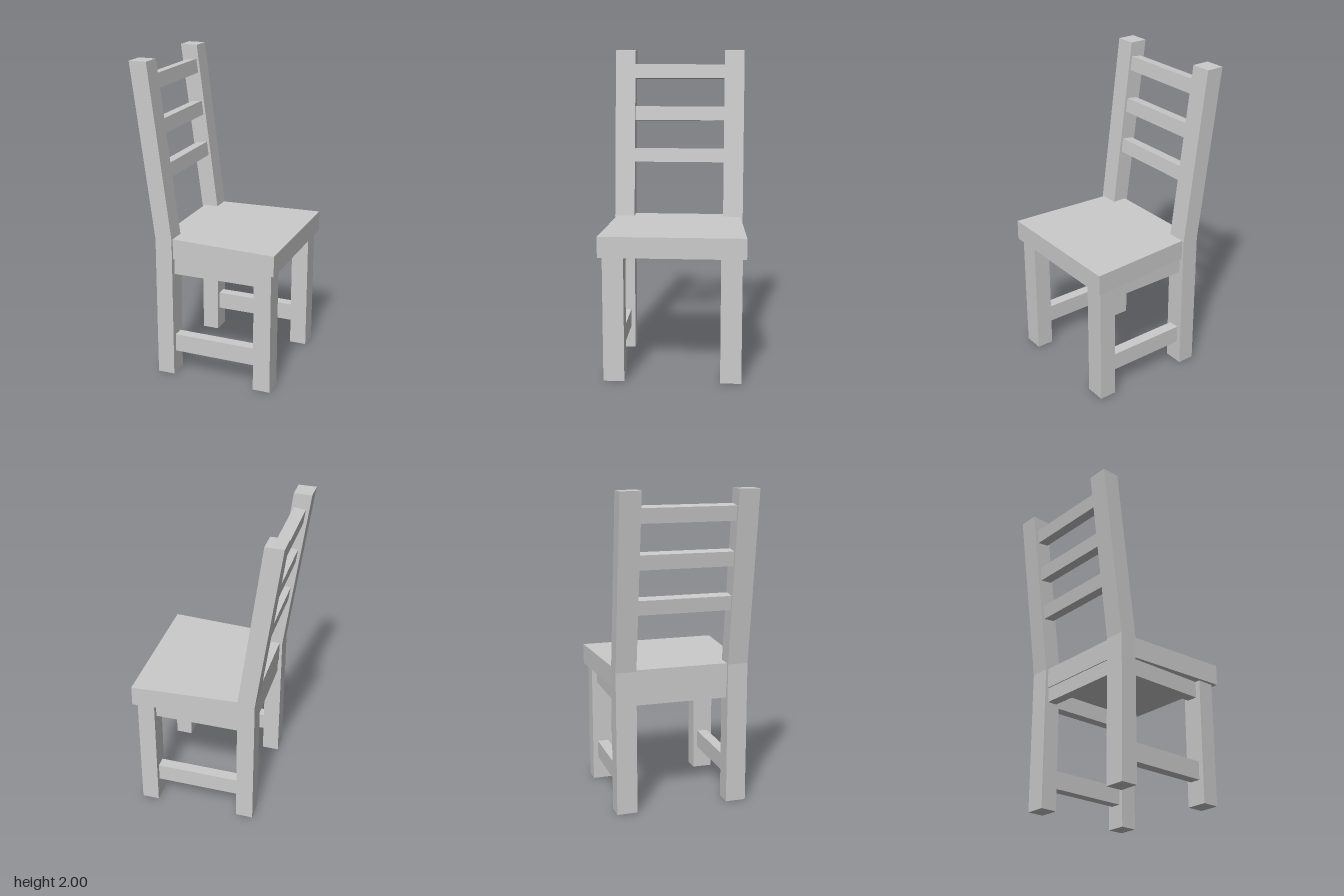
import * as THREE from 'three';

const material = new THREE.MeshStandardMaterial({ color: 0xcccccc, flatShading: true });

export function createModel() {
  const chair = new THREE.Group();
  chair.name = 'chair';

  const add = (name, geometry) => {
    const mesh = new THREE.Mesh(geometry, material);
    mesh.name = name;
    chair.add(mesh);
    return mesh;
  };

  // Box given by its limits on each axis
  const addBox = (name, [x0, x1], [y0, y1], [z0, z1]) =>
    add(name, new THREE.BoxGeometry(x1 - x0, y1 - y0, z1 - z0))
      .position.set((x0 + x1) / 2, (y0 + y1) / 2, (z0 + z1) / 2);

  const extrude = (points, depth) => new THREE.ExtrudeGeometry(
    new THREE.Shape(points.map(([x, y]) => new THREE.Vector2(x, y))),
    { depth, bevelEnabled: false });

  const inner = 0.295, outer = 0.425; // legs, distance from the middle
  const postProfile = [[-0.32, 0], [-0.21, 0], [-0.21, 0.91], [-0.352, 2], [-0.465, 2], [-0.32, 0.91]];

  for (const side of [-1, 1]) {
    const label = side > 0 ? 'Left' : 'Right';
    const span = (a, b) => side > 0 ? [a, b] : [-b, -a];

    // Rear leg and raked back post in one piece
    add('rearPost' + label, extrude(postProfile, outer - inner))
      .position.z = span(inner, outer)[0];

    addBox('frontLeg' + label, [0.33, 0.44], [0, 0.785], span(inner, outer));

    // Rails joining front and rear legs
    addBox('sideApron' + label, [-0.21, 0.33], [0.68, 0.785], span(0.322, 0.392));
    addBox('sideStretcher' + label, [-0.21, 0.33], [0.15, 0.265], span(0.322, 0.392));
  }

  // Rail under the back of the seat
  addBox('rearApron', [-0.295, -0.23], [0.69, 0.785], [-inner, inner]);

  // Seat, wider at the front, with a tongue between the rear posts
  const half = [[0.465, 0.45], [-0.21, 0.41], [-0.21, inner], [-0.302, inner]];
  const outline = [...half, ...half.map(([x, z]) => [x, -z]).reverse()];
  const seat = add('seat', extrude(outline, 0.13));
  seat.rotation.x = -Math.PI / 2;
  seat.position.y = 0.785;

  // Back slats, tilted with the posts
  const slope = 0.1285;
  [1.31, 1.585, 1.86].forEach((y, i) => {
    const slat = add('backSlat' + (i + 1), new THREE.BoxGeometry(0.075, 0.091, inner * 2));
    slat.position.set(-0.265 - slope * (y - 0.91), y, 0);
    slat.rotation.z = Math.atan(slope);
  });

  return chair;
}
